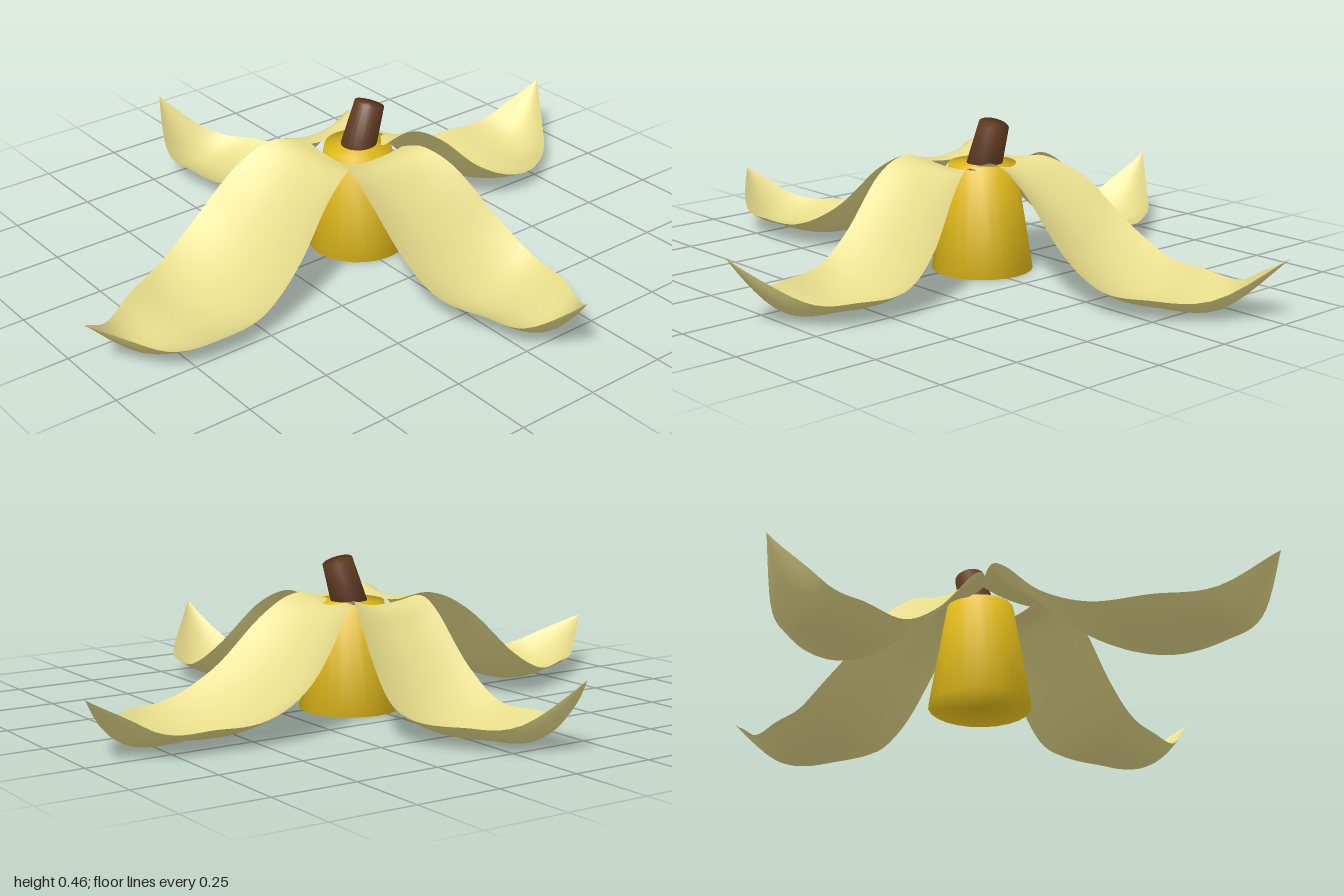
import * as THREE from 'three';

const paint = (name, color, side = THREE.FrontSide) => {
  const m = new THREE.MeshStandardMaterial({ color, side });
  m.name = name;
  return m;
};

// Smooth one-dimensional curve through evenly spaced values
function curve(values) {
  const spline = new THREE.SplineCurve(values.map((v, i) => new THREE.Vector2(i, v)));
  return (u) => spline.getPoint(THREE.MathUtils.clamp(u, 0, 1)).y;
}

// Height of the middle of a flap from root to tip, and how far its edges curl up
const height = curve([0.315, 0.312, 0.228, 0.09, 0.014, 0.01, 0.027, 0.18]);
const curl = curve([0.01, 0.028, 0.06, 0.06, 0.06, 0.057, 0.047, 0]);

// Each flap: distances outward, its two edges, and the slant of its cross-sections
const long = [0.08, 0.15, 0.25, 0.4, 0.55, 0.7, 0.85, 1];
const flaps = [
  { name: 'leftFlap', place: (s, t) => [s, t], out: long, skew: -0.22, tip: 0,
    a: [0.03, 0.04, 0.045, 0.05, 0.06, 0.05, -0.06, -0.26],
    b: [-0.14, -0.2, -0.28, -0.33, -0.33, -0.32, -0.295, -0.26] },
  { name: 'rightFlap', place: (s, t) => [-s, t], out: long, skew: 0.13, tip: -0.02,
    a: [-0.12, -0.16, -0.2, -0.22, -0.19, -0.12, -0.02, 0.11],
    b: [0.09, 0.13, 0.165, 0.215, 0.255, 0.265, 0.22, 0.11] },
  { name: 'frontFlap', place: (s, t) => [t, s], skew: 0.03, tip: 0.02,
    out: [0.07, 0.14, 0.23, 0.36, 0.48, 0.62, 0.75, 0.9],
    a: [-0.1, -0.125, -0.135, -0.115, -0.09, -0.05, -0.01, 0.065],
    b: [0.12, 0.15, 0.2, 0.26, 0.285, 0.265, 0.2, 0.065] },
  { name: 'backFlap', place: (s, t) => [t, -s], skew: -0.16, tip: 0.03,
    out: [0.12, 0.18, 0.25, 0.38, 0.5, 0.65, 0.77, 0.9],
    a: [0.1, 0.12, 0.15, 0.18, 0.185, 0.12, 0.03, -0.12],
    b: [-0.11, -0.135, -0.15, -0.165, -0.175, -0.195, -0.185, -0.12] },
];

// Cupped sheet lofted between the two edge curves
function flapGeometry({ place, out, a, b, skew, tip }) {
  const rows = 42, cols = 12, pos = [], index = [];
  const outAt = curve(out), aAt = curve(a), bAt = curve(b);
  for (let i = 0; i <= rows; i++) {
    const u = i / rows;
    for (let j = 0; j <= cols; j++) {
      const v = j / cols;
      const t = THREE.MathUtils.lerp(aAt(u), bAt(u), v);
      const mid = (aAt(u) + bAt(u)) / 2;
      const y = height(u + skew * (t - mid)) + curl(u) * (2 * v - 1) ** 2 + tip * u ** 8;
      const [x, z] = place(outAt(u), t);
      pos.push(x, Math.max(y, 0.008), z);
      if (i < rows && j < cols) {
        const p = i * (cols + 1) + j, q = p + cols + 1;
        index.push(p, q, p + 1);
        if (i < rows - 1) index.push(q, q + 1, p + 1);
      }
    }
  }
  const g = new THREE.BufferGeometry();
  g.setAttribute('position', new THREE.Float32BufferAttribute(pos, 3));
  g.setIndex(index);
  g.computeVertexNormals();
  return g;
}

// Closed tapered plug, shaded smoothly over its rims
const plug = (bottom, top, h) => new THREE.LatheGeometry(
  [[0, 0], [bottom, 0], [top, h], [0, h]].map(([r, y]) => new THREE.Vector2(r, y)), 24);

export function createModel() {
  const model = new THREE.Group();
  model.name = 'fruitPeel';
  const cream = paint('cream peel', 0xe6db8a, THREE.DoubleSide);
  const yellow = paint('yellow core', 0xe6bf1a);
  const brown = paint('brown stem', 0x633c22);

  const add = (name, geometry, material) => {
    const mesh = new THREE.Mesh(geometry, material);
    mesh.name = name;
    model.add(mesh);
    return mesh;
  };

  // Four drooping flaps of peel
  for (const flap of flaps) add(flap.name, flapGeometry(flap), cream);

  // Tapered core
  add('core', plug(0.152, 0.1, 0.322), yellow).position.set(0.032, 0, -0.032);

  // Leaning stem
  const stem = add('stem', plug(0.054, 0.045, 0.155), brown);
  stem.position.set(0.03, 0.294, -0.035);
  stem.rotation.z = -0.32;

  return model;
}
